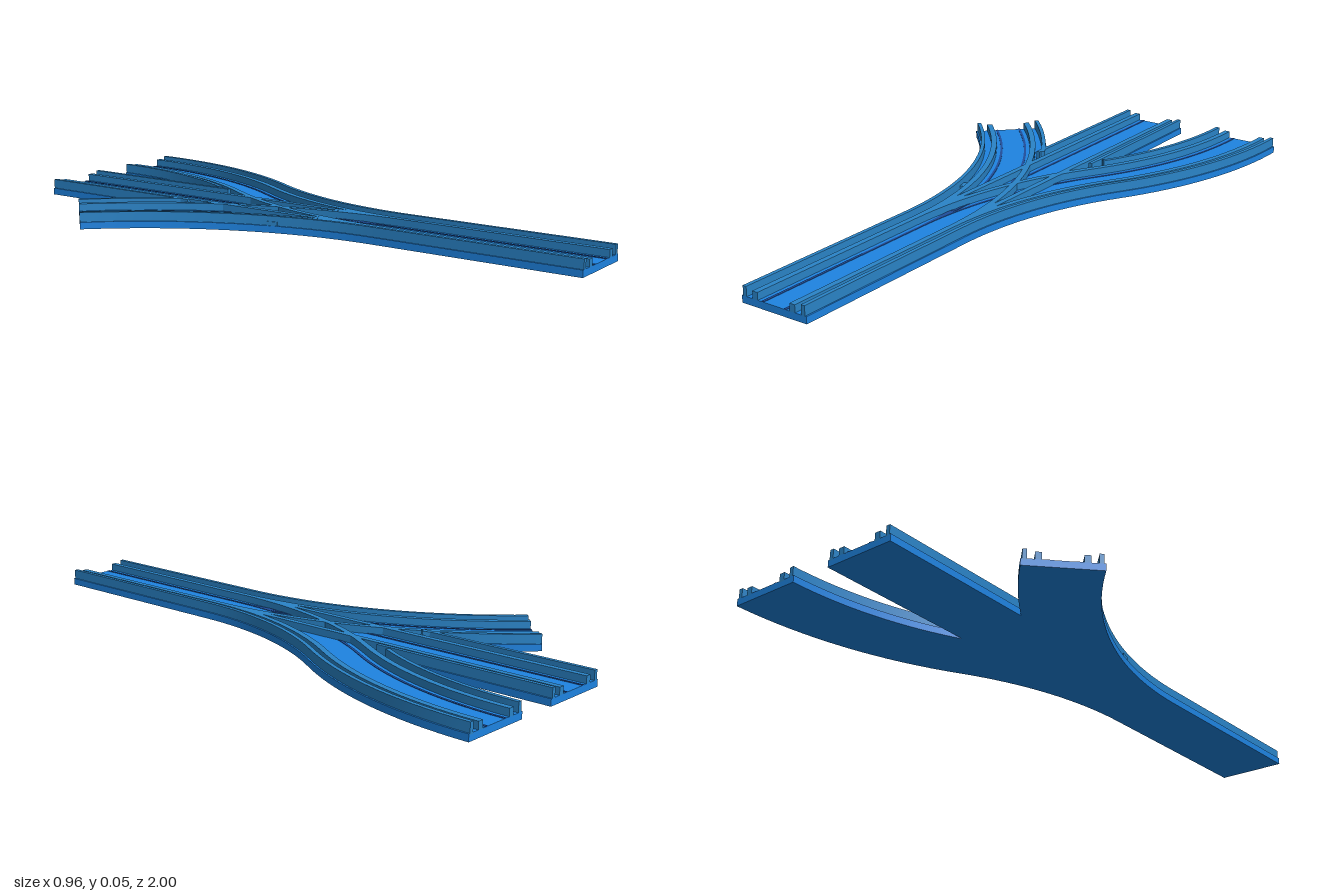
import * as THREE from 'three';
import { toCreasedNormals } from 'three/addons/utils/BufferGeometryUtils.js';

const CX = -0.009;                      // centre line of the straight track
const FORK = 0.32;                      // z where the branches begin
const HALF = 0.117, FLOOR = 0.022;

// Each path gives position and heading (angle away from -z towards +x) at t in 0..1
const straight = t => ({ x: CX, z: 1 - 2 * t, a: 0 });
const leftArc = t => {
  const R = 1.32, a = t * Math.PI / 4;
  return { x: CX - R * (1 - Math.cos(a)), z: FORK - R * Math.sin(a), a: -a };
};
const rightBend = t => {
  const R = 1.2698, A = 0.5466, end = { x: CX + 0.37, z: -1 };
  const a = A * (t < 0.5 ? 2 * t : 2 - 2 * t);
  const dx = R * (1 - Math.cos(a)), dz = R * Math.sin(a);
  return t < 0.5 ? { x: CX + dx, z: FORK - dz, a } : { x: end.x - dx, z: end.z + dz, a };
};

// Sweep a counter-clockwise [offset, height] rectangle along part of a path, with end caps
function sweep(profile, path, t0, t1, steps) {
  const pos = [];
  const at = (i, s) => {
    const p = path(t0 + (t1 - t0) * s / steps), [o, y] = profile[i];
    return [p.x + o * Math.cos(p.a), y, p.z + o * Math.sin(p.a)];
  };
  const quad = (a, b, c, d) => [a, b, c, a, c, d].forEach(v => pos.push(...v));
  for (let s = 0; s < steps; s++) {
    for (let i = 0; i < 4; i++) {
      const j = (i + 1) % 4;
      quad(at(i, s), at(i, s + 1), at(j, s + 1), at(j, s));
    }
  }
  quad(at(0, 0), at(1, 0), at(2, 0), at(3, 0));
  quad(at(3, steps), at(2, steps), at(1, steps), at(0, steps));
  const g = new THREE.BufferGeometry();
  g.setAttribute('position', new THREE.Float32BufferAttribute(pos, 3));
  g.computeVertexNormals();
  return toCreasedNormals(g, 0.4);
}

// Rectangle between two distances from the centre line, on the chosen side
const strip = (side, inner, outer, y0, y1) => {
  const [a, b] = side < 0 ? [-outer, -inner] : [inner, outer];
  return [[a, y0], [b, y0], [b, y1], [a, y1]];
};
const bed = [[-HALF, 0], [HALF, 0], [HALF, FLOOR], [-HALF, FLOOR]];
const wall = side => strip(side, 0.099, 0.112, 0.018, 0.052);
const rail = side => strip(side, 0.058, 0.077, 0.018, 0.045);
const line = side => strip(side, 0.037, 0.045, FLOOR - 0.002, FLOOR + 0.0015);

function material(name, color) {
  const m = new THREE.MeshStandardMaterial({ color });
  m.name = name;
  return m;
}

export function createModel() {
  const bedBlue = material('bed blue', 0x1e84e2);
  const railBlue = material('rail blue', 0x2a84c8);
  const lineBlue = material('dark line blue', 0x1f4e9c);
  const model = new THREE.Group();
  model.name = 'threeWayTrack';
  const add = (name, geometry, mat, parent = model) => {
    const m = new THREE.Mesh(geometry, mat);
    m.name = name;
    parent.add(m);
    return m;
  };

  // Outer walls are listed as [side, from, to]; they stop where tracks merge
  const tracks = [
    ['straightTrack', straight, 20, [[-1, 0, 0.34], [1, 0, 0.34], [-1, 0.697, 1], [1, 0.697, 1]]],
    ['leftBranch', leftArc, 24, [[-1, 0, 1], [1, 0.68, 1]]],
    ['rightBranch', rightBend, 32, [[1, 0, 1], [-1, 0.545, 1]]],
  ];
  for (const [name, path, steps, walls] of tracks) {
    const track = new THREE.Group();
    track.name = name;
    model.add(track);
    add('bed', sweep(bed, path, 0, 1, steps), bedBlue, track);
    for (const side of [-1, 1]) {
      add('innerRail', sweep(rail(side), path, 0, 1, steps), railBlue, track);
      add('floorLine', sweep(line(side), path, 0, 1, steps), lineBlue, track);
    }
    for (const [side, t0, t1] of walls) {
      add('outerWall', sweep(wall(side), path, t0, t1, steps), railBlue, track);
    }
  }

  // Small switch catch passing through the left wall
  const latch = add('switchLatch', new THREE.BoxGeometry(0.046, 0.014, 0.035), railBlue);
  latch.position.set(-0.149, 0.028, -0.02);
  latch.rotation.y = 0.25;
  return model;
}
